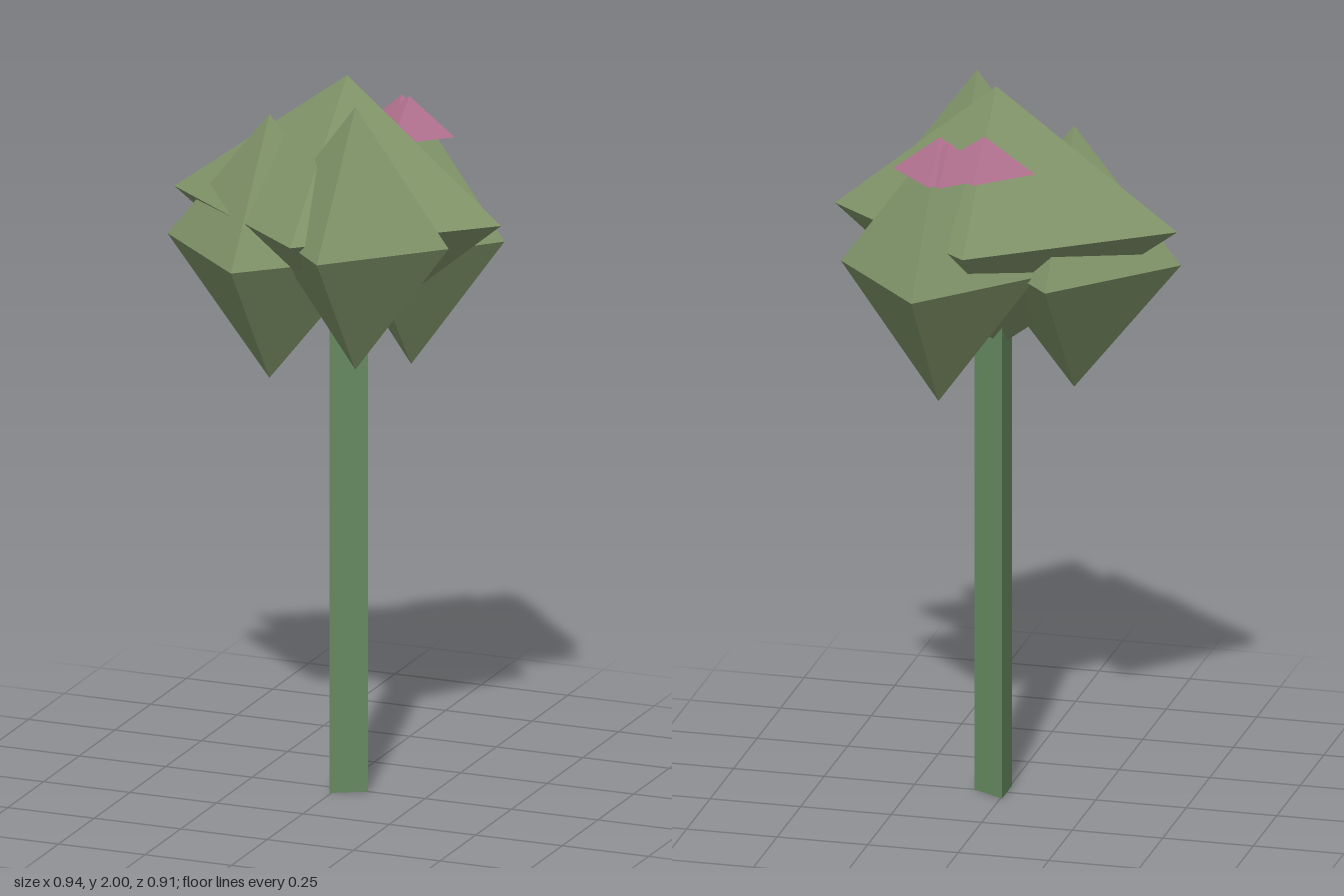
import * as THREE from 'three';

const leafMat = new THREE.MeshStandardMaterial({ color: 0x7f9368, flatShading: true });
const stemMat = new THREE.MeshStandardMaterial({ color: 0x668a60, flatShading: true });
const flowerMat = new THREE.MeshStandardMaterial({ color: 0xae6f8c, flatShading: true });

// Eight-sided clump whose corners reach a different distance along each half axis
function clump(name, center, left, right, up, down, front, back) {
  const geo = new THREE.OctahedronGeometry(1, 0);
  const p = geo.attributes.position;
  for (let i = 0; i < p.count; i++) {
    const x = p.getX(i), y = p.getY(i), z = p.getZ(i);
    p.setXYZ(i, x * (x > 0 ? left : right), y * (y > 0 ? up : down), z * (z > 0 ? front : back));
  }
  geo.computeVertexNormals();
  const mesh = new THREE.Mesh(geo, leafMat);
  mesh.name = name;
  mesh.position.set(...center);
  return mesh;
}

// Four-sided pyramid with its corners on the axes
function blossom(name, x, z, rx, rz, base, height) {
  const geo = new THREE.ConeGeometry(1, height, 4);
  geo.scale(rx, 1, rz);
  geo.translate(0, height / 2, 0);
  const mesh = new THREE.Mesh(geo, flowerMat);
  mesh.name = name;
  mesh.position.set(x, base, z);
  return mesh;
}

export function createModel() {
  const model = new THREE.Group();
  model.name = 'plant';

  // Three-sided stem, one edge towards +x
  const stem = new THREE.Mesh(new THREE.CylinderGeometry(0.06, 0.06, 1.4, 3), stemMat);
  stem.name = 'stem';
  stem.rotation.y = Math.PI / 2;
  stem.position.set(0.025, 0.7, 0);
  model.add(stem);

  // Leafy crown
  const crown = new THREE.Group();
  crown.name = 'crown';
  crown.add(
    clump('centreClump', [0.025, 1.63, 0], 0.445, 0.5, 0.37, 0.37, 0.4, 0.36),
    clump('frontClump', [0.125, 1.61, 0.185], 0.27, 0.27, 0.365, 0.37, 0.27, 0.27),
    clump('rightClump', [-0.175, 1.515, 0.06], 0.295, 0.295, 0.37, 0.37, 0.27, 0.31),
    clump('backClump', [0.14, 1.53, -0.17], 0.27, 0.27, 0.37, 0.375, 0.29, 0.29)
  );
  model.add(crown);

  // Blossoms near the top at the back
  const blossoms = new THREE.Group();
  blossoms.name = 'blossoms';
  blossoms.add(
    blossom('leftBlossom', 0.135, -0.17, 0.13, 0.13, 1.805, 0.1),
    blossom('rightBlossom', 0.025, -0.125, 0.14, 0.13, 1.805, 0.095),
    blossom('middleBlossom', 0.105, -0.19, 0.11, 0.11, 1.805, 0.095)
  );
  model.add(blossoms);

  return model;
}
